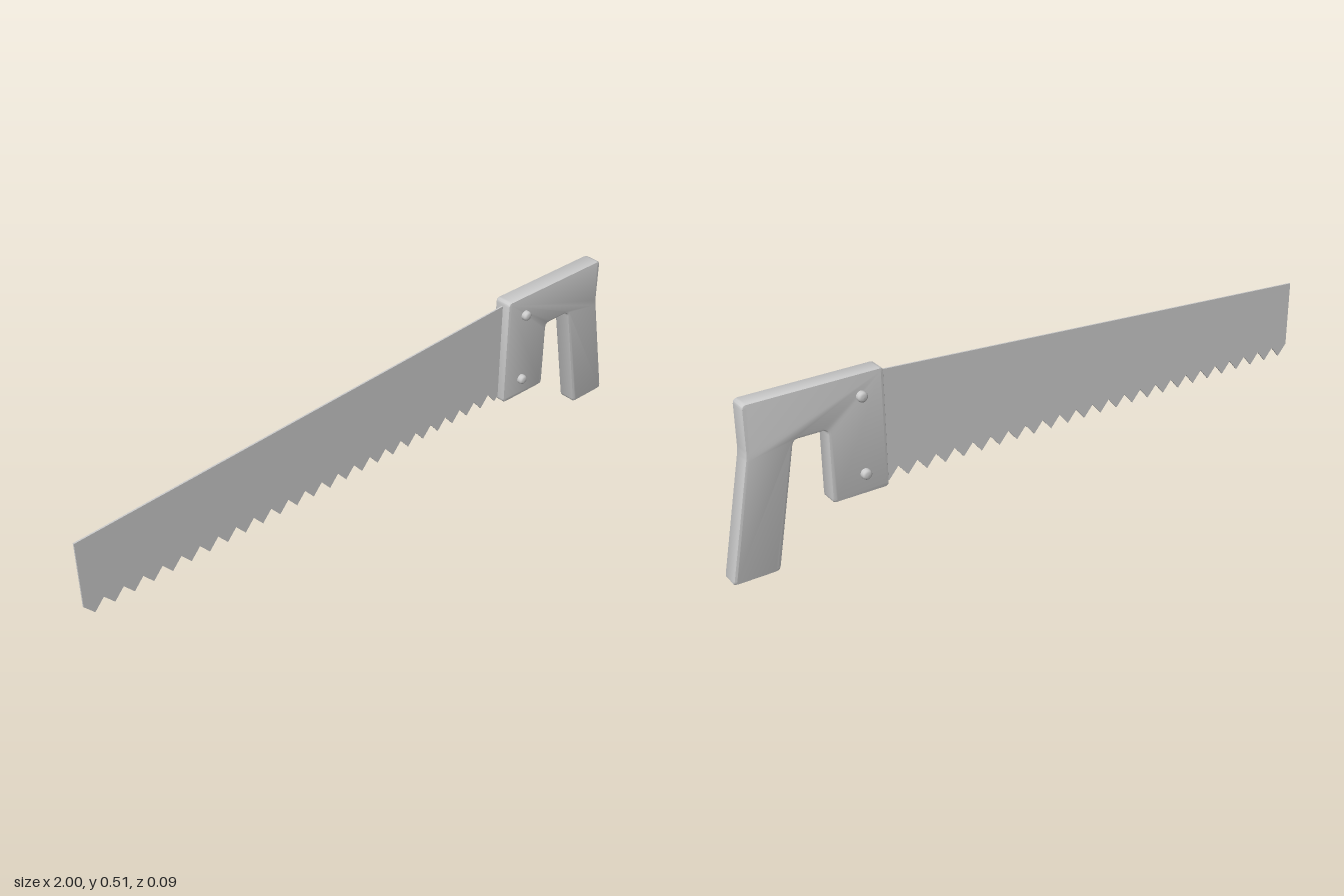
import * as THREE from 'three';
import { toCreasedNormals } from 'three/addons/utils/BufferGeometryUtils.js';

const grey = new THREE.MeshStandardMaterial({ color: 0xcccccc });

function addMesh(parent, name, geometry) {
  const mesh = new THREE.Mesh(geometry, grey);
  mesh.name = name;
  parent.add(mesh);
  return mesh;
}

// Closed outline whose corners are eased by a small radius
function easedShape(points, radius) {
  const shape = new THREE.Shape();
  const pts = points.map(([x, y]) => new THREE.Vector2(x, y));
  pts.forEach((p, i) => {
    const prev = pts[(i + pts.length - 1) % pts.length];
    const next = pts[(i + 1) % pts.length];
    const a = prev.clone().sub(p).setLength(radius).add(p);
    const b = next.clone().sub(p).setLength(radius).add(p);
    if (i === 0) shape.moveTo(a.x, a.y);
    else shape.lineTo(a.x, a.y);
    shape.quadraticCurveTo(p.x, p.y, b.x, b.y);
  });
  shape.closePath();
  return shape;
}

// Thin tapered plate with a row of V-shaped teeth
function bladeGeometry() {
  const pitch = 0.0615, teeth = 26, root = 0.188, tip = 0.152, thickness = 0.005;
  const end = -1 + teeth * pitch;
  const shape = new THREE.Shape();
  shape.moveTo(-1, 0.4);
  shape.lineTo(-1, root);
  for (let i = 0; i < teeth; i++) {
    const x = -1 + i * pitch;
    shape.lineTo(x + pitch / 2, tip);
    shape.lineTo(x + pitch, root);
  }
  shape.lineTo(end, 0.4 + (end + 1) * 0.06);
  shape.closePath();
  return new THREE.ExtrudeGeometry(shape, { depth: thickness, bevelEnabled: false })
    .translate(0, 0, -thickness / 2);
}

// Hooked grip, open at the bottom, with softened edges
function handleGeometry() {
  const outline = [
    [0.52, 0.15], [0.695, 0.15], [0.695, 0.372], [0.795, 0.372], [0.862, 0],
    [1, 0], [0.93, 0.365], [0.93, 0.51], [0.52, 0.51],
  ];
  const half = 0.029, bevel = 0.006;
  const geometry = new THREE.ExtrudeGeometry(easedShape(outline, 0.014), {
    depth: 2 * (half - bevel), curveSegments: 3,
    bevelThickness: bevel, bevelSize: 0.009, bevelOffset: -0.009, bevelSegments: 2,
  }).translate(0, 0, bevel - half);
  return toCreasedNormals(geometry, 0.6);
}

// Domed pin that shows on both faces of the handle
function rivetGeometry() {
  const head = [[0.0155, 0.037], [0.0145, 0.041], [0.012, 0.044], [0.008, 0.046], [0, 0.0465]];
  const profile = [...head.map(([r, z]) => [r, -z]).reverse(), ...head];
  return new THREE.LatheGeometry(profile.map(([r, z]) => new THREE.Vector2(r, z)), 16)
    .rotateX(Math.PI / 2);
}

export function createModel() {
  const saw = new THREE.Group();
  saw.name = 'handSaw';

  addMesh(saw, 'blade', bladeGeometry());
  addMesh(saw, 'handle', handleGeometry());

  const rivet = rivetGeometry();
  for (const [name, y] of [['upperRivet', 0.445], ['lowerRivet', 0.213]]) {
    addMesh(saw, name, rivet).position.set(0.593, y, 0);
  }
  return saw;
}
